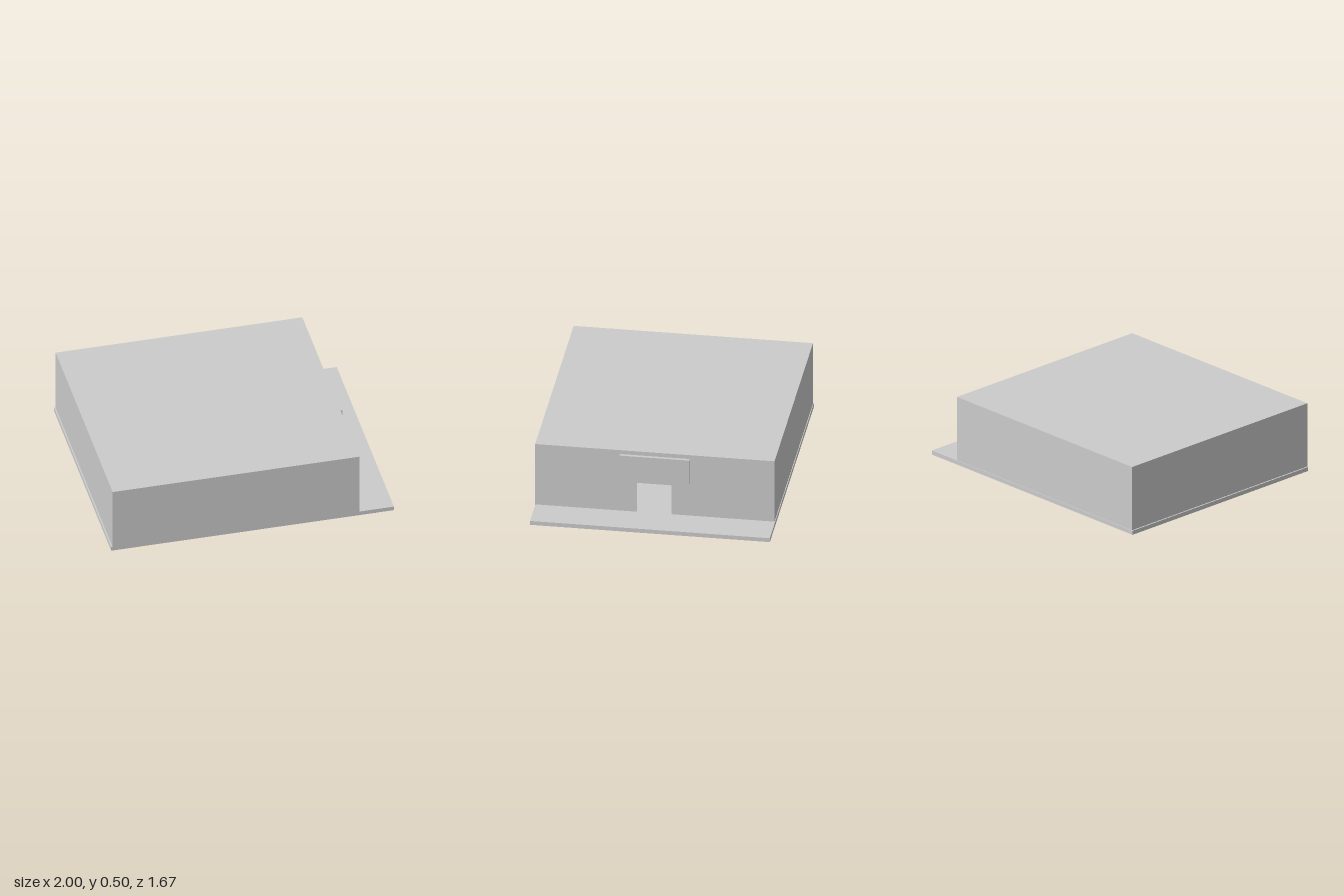
import * as THREE from 'three';

export function createModel() {
  const model = new THREE.Group();
  const solid = new THREE.MeshStandardMaterial({ color: 0xcccccc, flatShading: true });
  const thin = new THREE.MeshStandardMaterial({ color: 0xcccccc, flatShading: true, side: THREE.DoubleSide });

  function add(parent, name, geometry, material) {
    const mesh = new THREE.Mesh(geometry, material);
    mesh.name = name;
    parent.add(mesh);
    return mesh;
  }

  // Box given by its lower and upper corners
  function addBox(name, [x0, y0, z0], [x1, y1, z1]) {
    const mesh = add(model, name, new THREE.BoxGeometry(x1 - x0, y1 - y0, z1 - z0), solid);
    mesh.position.set((x0 + x1) / 2, (y0 + y1) / 2, (z0 + z1) / 2);
  }

  // Ground slab, reaching past the entrance wall
  addBox('baseSlab', [-1, 0, -0.835], [1, 0.03, 0.833]);

  // Hollow building shell made of thin walls
  const shell = new THREE.Group();
  shell.name = 'buildingShell';
  model.add(shell);
  const left = -0.99, right = 0.755, back = -0.83, front = 0.835, low = 0.005, high = 0.5;
  const width = right - left, depth = front - back, height = high - low;
  const midX = (left + right) / 2, midY = (low + high) / 2, midZ = (front + back) / 2;

  function addPanel(name, w, h, position, rotation) {
    const mesh = add(shell, name, new THREE.PlaneGeometry(w, h), thin);
    mesh.position.set(...position);
    mesh.rotation.set(...rotation);
  }
  addPanel('frontWall', width, height, [midX, midY, front], [0, 0, 0]);
  addPanel('backWall', width, height, [midX, midY, back], [0, Math.PI, 0]);
  addPanel('rearEndWall', depth, height, [left, midY, midZ], [0, -Math.PI / 2, 0]);
  addPanel('roof', width, depth, [midX, high, midZ], [-Math.PI / 2, 0, 0]);

  // Entrance wall with a doorway cut up from its foot; shape x runs along -z
  const outline = [
    [-front, low], [-0.125, low], [-0.125, 0.255], [0.115, 0.255],
    [0.115, low], [-back, low], [-back, high], [-front, high],
  ].map(([x, y]) => new THREE.Vector2(x, y));
  const entrance = add(shell, 'entranceWall', new THREE.ShapeGeometry(new THREE.Shape(outline)), thin);
  entrance.rotation.y = Math.PI / 2;
  entrance.position.x = right;

  // Blank sign board above the doorway
  addBox('signBoard', [right, 0.29, -0.24], [0.778, 0.47, 0.245]);

  return model;
}
